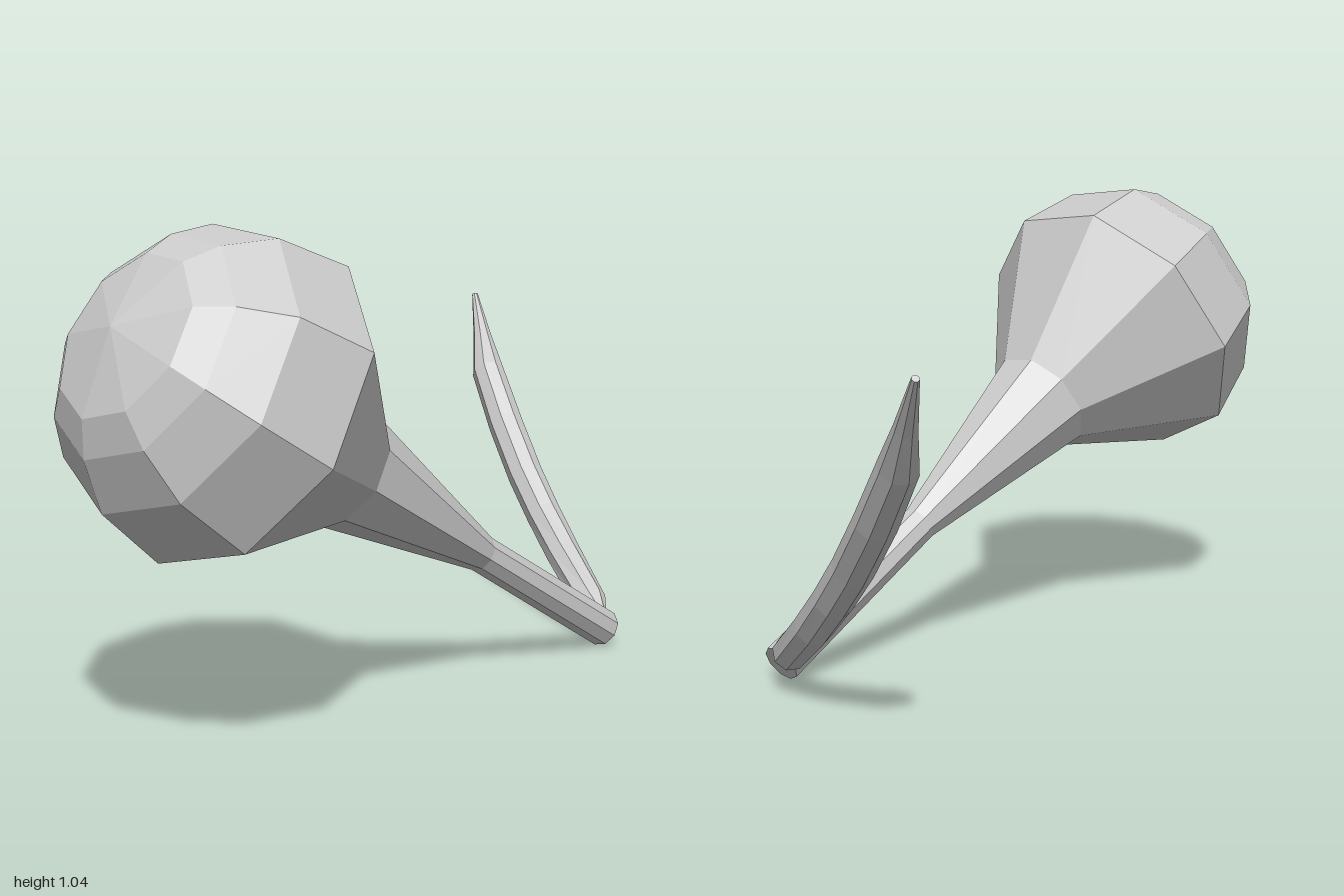
import * as THREE from 'three';

const material = new THREE.MeshStandardMaterial({ color: 0xcccccc, flatShading: true });

// Skins a closed, faceted tube through rings of [x, y, z, radius], each square to the path
function loft(name, rings, sides, phase) {
  const centres = rings.map(([x, y, z]) => new THREE.Vector3(x, y, z));
  const last = rings.length - 1;
  const pos = [];
  const idx = [];
  rings.forEach((ring, i) => {
    const dir = centres[Math.min(i + 1, last)].clone().sub(centres[Math.max(i - 1, 0)]).normalize();
    const u = new THREE.Vector3(1, 0, 0).addScaledVector(dir, -dir.x).normalize();
    const v = dir.clone().cross(u);
    for (let j = 0; j < sides; j++) {
      const a = phase + (j / sides) * Math.PI * 2;
      const p = centres[i].clone()
        .addScaledVector(u, ring[3] * Math.cos(a))
        .addScaledVector(v, ring[3] * Math.sin(a));
      pos.push(p.x, p.y, p.z);
    }
  });
  for (let i = 0; i < last; i++) {
    for (let j = 0; j < sides; j++) {
      const k = (j + 1) % sides;
      const a = i * sides + j, b = i * sides + k, c = a + sides, d = b + sides;
      idx.push(a, b, c, b, d, c);
    }
  }
  // end caps
  for (let j = 1; j < sides - 1; j++) {
    idx.push(0, j + 1, j);
    idx.push(last * sides, last * sides + j, last * sides + j + 1);
  }
  const geo = new THREE.BufferGeometry();
  geo.setAttribute('position', new THREE.Float32BufferAttribute(pos, 3));
  geo.setIndex(idx);
  geo.computeVertexNormals();
  const mesh = new THREE.Mesh(geo, material);
  mesh.name = name;
  return mesh;
}

export function createModel() {
  const group = new THREE.Group();
  group.name = 'bulbWithTail';

  // straight stem flaring into a domed bulb: [distance along axis, radius]
  const start = new THREE.Vector3(0.297, 0.045, -0.468);
  const axis = new THREE.Vector3(-0.178, 0.502, 0.846).normalize();
  const profile = [
    [0, 0.045], [0.494, 0.043], [0.98, 0.133], [1.298, 0.352],
    [1.472, 0.318], [1.566, 0.244], [1.612, 0.178], [1.65, 0],
  ];
  const bulbRings = profile.map(([t, r]) => [...start.clone().addScaledVector(axis, t).toArray(), r]);
  group.add(loft('bulbAndStem', bulbRings, 9, THREE.MathUtils.degToRad(18)));

  // curved tail, pinched where it meets the stem and tapering to a point
  group.add(loft('tail', [
    [0.285, 0.07, -0.482, 0.014],
    [0.232, 0.09, -0.522, 0.04],
    [0.107, 0.182, -0.605, 0.043],
    [0.015, 0.262, -0.662, 0.044],
    [-0.07, 0.347, -0.713, 0.045],
    [-0.175, 0.462, -0.785, 0.045],
    [-0.275, 0.588, -0.855, 0.042],
    [-0.335, 0.675, -0.92, 0.024],
    [-0.405, 0.778, -0.993, 0.008],
  ], 8, 0.2));

  return group;
}
